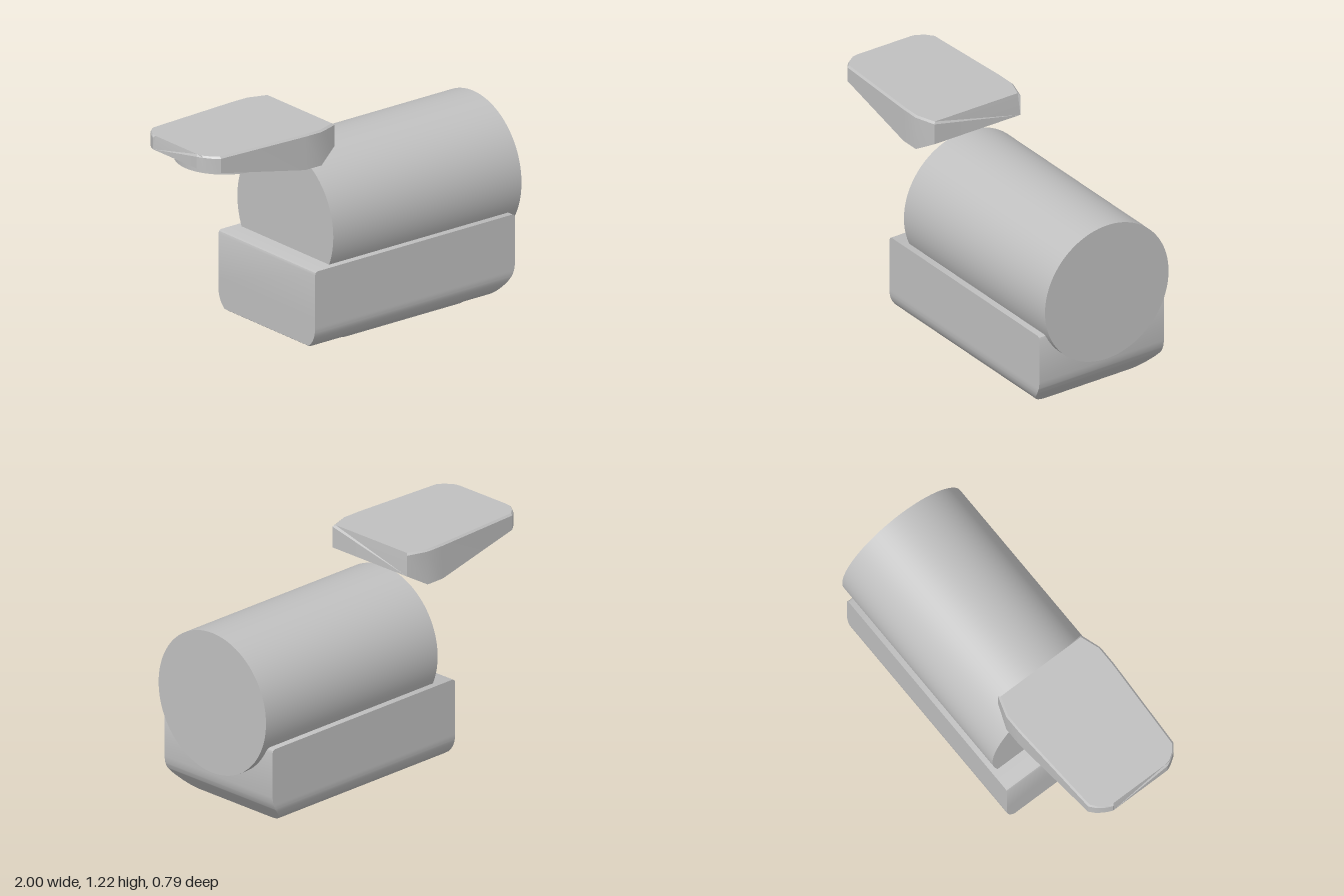
import * as THREE from 'three';
import { toCreasedNormals } from 'three/addons/utils/BufferGeometryUtils.js';

const V = (x, y, z) => new THREE.Vector3(x, y, z);

// Closed skin through rings that run counter-clockwise around the loft direction
function loft(rings, crease = 0.5) {
  const n = rings[0].length, pos = [];
  const tri = (...p) => p.forEach(v => pos.push(v.x, v.y, v.z));
  for (let i = 0; i < rings.length - 1; i++) {
    const a = rings[i], b = rings[i + 1];
    for (let j = 0; j < n; j++) {
      const k = (j + 1) % n;
      tri(a[j], a[k], b[k]);
      tri(a[j], b[k], b[j]);
    }
  }
  const first = rings[0], last = rings[rings.length - 1];
  for (let j = 1; j < n - 1; j++) {
    tri(first[0], first[j + 1], first[j]);
    tri(last[0], last[j], last[j + 1]);
  }
  const g = new THREE.BufferGeometry();
  g.setAttribute('position', new THREE.Float32BufferAttribute(pos, 3));
  return toCreasedNormals(g, crease);
}

// Piecewise linear lookup in [key, value] pairs
function lookup(table, t) {
  for (let i = 1; i < table.length; i++) {
    const [t0, v0] = table[i - 1], [t1, v1] = table[i];
    if (t <= t1) return v0 + (v1 - v0) * Math.max(0, (t - t0) / (t1 - t0));
  }
  return table[table.length - 1][1];
}

// Base: rectangles stacked in y, long lower edges rounded, ends shaped
function baseGeometry() {
  const bottom = 0.025, r = 0.135, half = 0.397;
  const rightEnd = [[0.025, 0.83], [0.115, 0.915], [0.14, 0.935], [0.17, 0.948],
    [0.21, 0.955], [0.46, 0.955], [0.473, 0.95], [0.48, 0.937]];
  const leftEnd = [[0.025, -0.31], [0.045, -0.37], [0.055, -0.385], [0.46, -0.385],
    [0.473, -0.38], [0.48, -0.367]];
  const levels = new Set([...rightEnd, ...leftEnd].map(p => p[0]));
  for (let i = 1; i <= 14; i++) levels.add(bottom + r * (1 - Math.cos(i / 14 * Math.PI / 2)));
  const rings = [...levels].sort((a, b) => a - b).map(y => {
    const d = Math.max(0, 1 - (y - bottom) / r);
    const w = half - r + r * Math.sqrt(Math.max(0, 1 - d * d));
    const a = lookup(leftEnd, y), b = lookup(rightEnd, y);
    return [V(a, y, w), V(b, y, w), V(b, y, -w), V(a, y, -w)];
  });
  return loft(rings);
}

// Lid: sections along x as [x, half width, underside height], thin bevel on top
function lidGeometry() {
  const top = 1.215, e = 0.01;
  const sections = [[-1, 0.18, 1.14], [-0.985, 0.212, 1.137], [-0.955, 0.255, 1.131],
    [-0.92, 0.283, 1.125], [-0.38, 0.311, 1.02], [-0.27, 0.311, 1.02], [-0.155, 0.274, 1.088]];
  const rings = sections.map(([x, w, y], i) => {
    const tx = i === 0 ? x + e : i === sections.length - 1 ? x - e : x;
    return [V(x, y, -w), V(x, top - e, -w), V(tx, top, -w + e),
      V(tx, top, w - e), V(x, top - e, w), V(x, y, w)];
  });
  return loft(rings, 0.4);
}

// Foot pad: rounded rectangle with a soft lower rim
function padGeometry() {
  const inset = 0.018, x = 0.465 - inset, z = 0.265 - inset, r = 0.075;
  const s = new THREE.Shape();
  s.moveTo(-x + r, -z);
  s.absarc(x - r, -z + r, r, -Math.PI / 2, 0);
  s.absarc(x - r, z - r, r, 0, Math.PI / 2);
  s.absarc(-x + r, z - r, r, Math.PI / 2, Math.PI);
  s.absarc(-x + r, -z + r, r, Math.PI, Math.PI * 1.5);
  const g = new THREE.ExtrudeGeometry(s, { depth: 0.02, bevelThickness: 0.018,
    bevelSize: inset, bevelSegments: 5, curveSegments: 10 });
  g.rotateX(-Math.PI / 2);
  g.translate(0.32, 0.018, 0);
  return toCreasedNormals(g, 0.6);
}

export function createModel() {
  const model = new THREE.Group();
  const grey = new THREE.MeshStandardMaterial({ color: 0xc0c0c0 });
  grey.name = 'grey';
  const add = (name, geometry) => {
    const mesh = new THREE.Mesh(geometry, grey);
    mesh.name = name;
    model.add(mesh);
    return mesh;
  };

  add('base', baseGeometry());
  add('footPad', padGeometry());

  // Horizontal drum resting in the base
  const drum = add('drum', new THREE.CylinderGeometry(0.394, 0.394, 1.26, 96));
  drum.rotation.z = Math.PI / 2;
  drum.position.set(0.37, 0.641, 0);

  // Floating lid with a round boss beneath it
  add('lid', lidGeometry());
  add('lidBoss', new THREE.CylinderGeometry(0.26, 0.26, 0.11, 64)).position.set(-0.67, 1.127, 0);

  return model;
}
